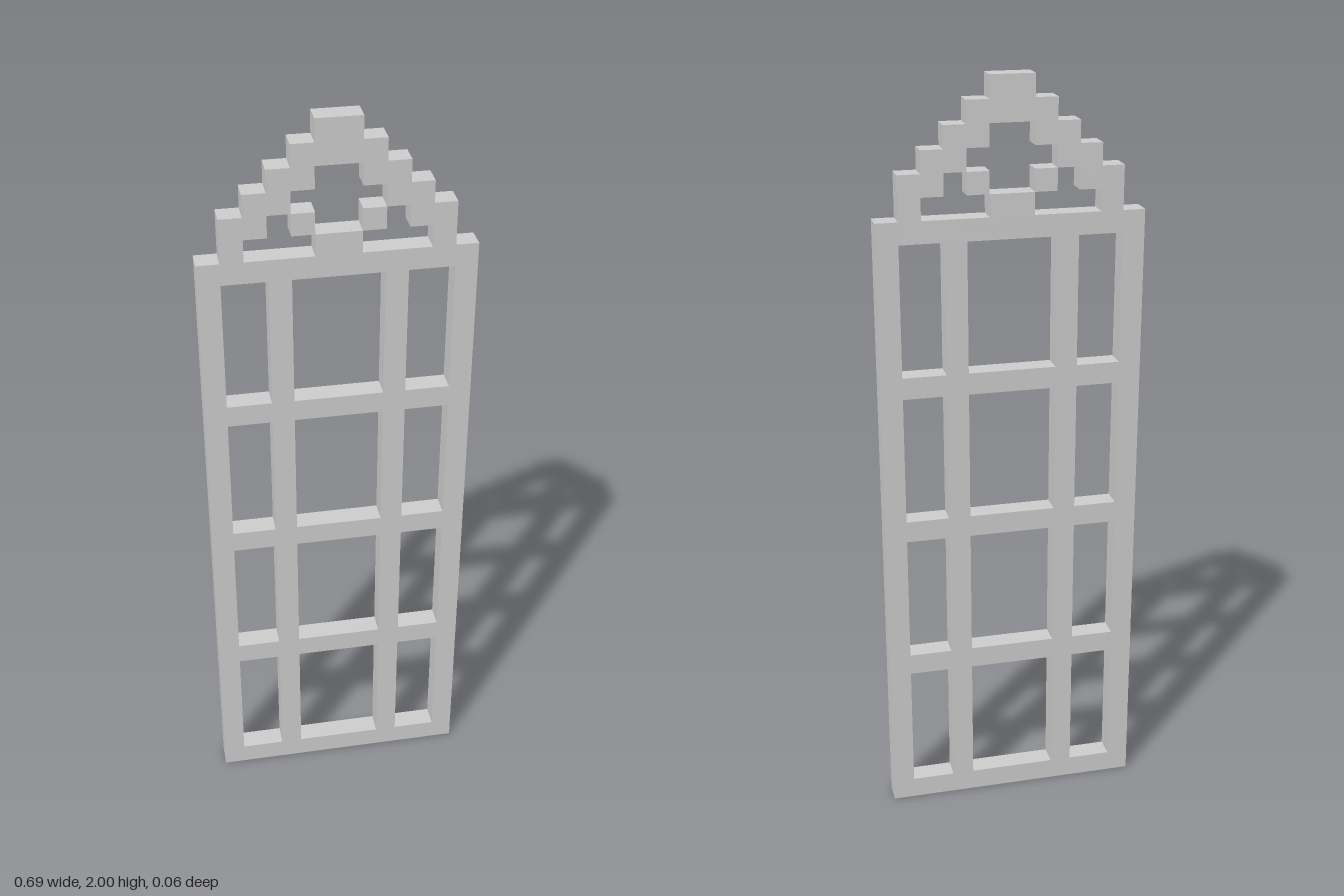
import * as THREE from 'three';

const U = 2 / 35; // one block; the window is 12 blocks wide, 35 tall, 1 deep

// Mirrors a right-hand profile (in blocks, bottom to top) into a closed outline
function mirrored(half, PathType) {
  const left = half.map(([x, y]) => [-x, y]).reverse();
  return new PathType([...half, ...left].map(([x, y]) => new THREE.Vector2(x * U, y * U)));
}

function rectangle(x0, x1, y0, y1) {
  return new THREE.Path([[x0, y0], [x0, y1], [x1, y1], [x1, y0]]
    .map(([x, y]) => new THREE.Vector2(x * U, y * U)));
}

export function createModel() {
  const group = new THREE.Group();
  group.name = 'archedWindow';
  const material = new THREE.MeshStandardMaterial({ color: 0xcccccc, flatShading: true });

  // Outer frame with a stepped arch
  const outline = mirrored([
    [6, 0], [6, 29], [5, 29], [5, 31], [4, 31], [4, 32],
    [3, 32], [3, 33], [2, 33], [2, 34], [1, 34], [1, 35],
  ], THREE.Shape);

  // Stepped opening inside the arch
  outline.holes.push(mirrored([
    [1, 30], [1, 29], [4, 29], [4, 30], [3, 30], [3, 31],
    [2, 31], [2, 32], [1, 32], [1, 33],
  ], THREE.Path));

  // Four rows of three panes between mullions and crossbars
  for (let row = 0; row < 4; row++) {
    for (const [x0, x1] of [[-5, -3], [-2, 2], [3, 5]]) {
      outline.holes.push(rectangle(x0, x1, row * 7 + 1, row * 7 + 7));
    }
  }

  const frameGeometry = new THREE.ExtrudeGeometry(outline, { depth: U, bevelEnabled: false });
  frameGeometry.translate(0, 0, -U / 2);
  const frame = new THREE.Mesh(frameGeometry, material);
  frame.name = 'windowFrame';
  group.add(frame);

  // Small tracery blocks that meet the arch corner to corner
  for (const side of [-1, 1]) {
    const block = new THREE.Mesh(new THREE.BoxGeometry(U, U, U), material);
    block.name = side > 0 ? 'traceryBlockLeft' : 'traceryBlockRight';
    block.position.set(side * 1.5 * U, 30.5 * U, 0);
    group.add(block);
  }

  return group;
}
